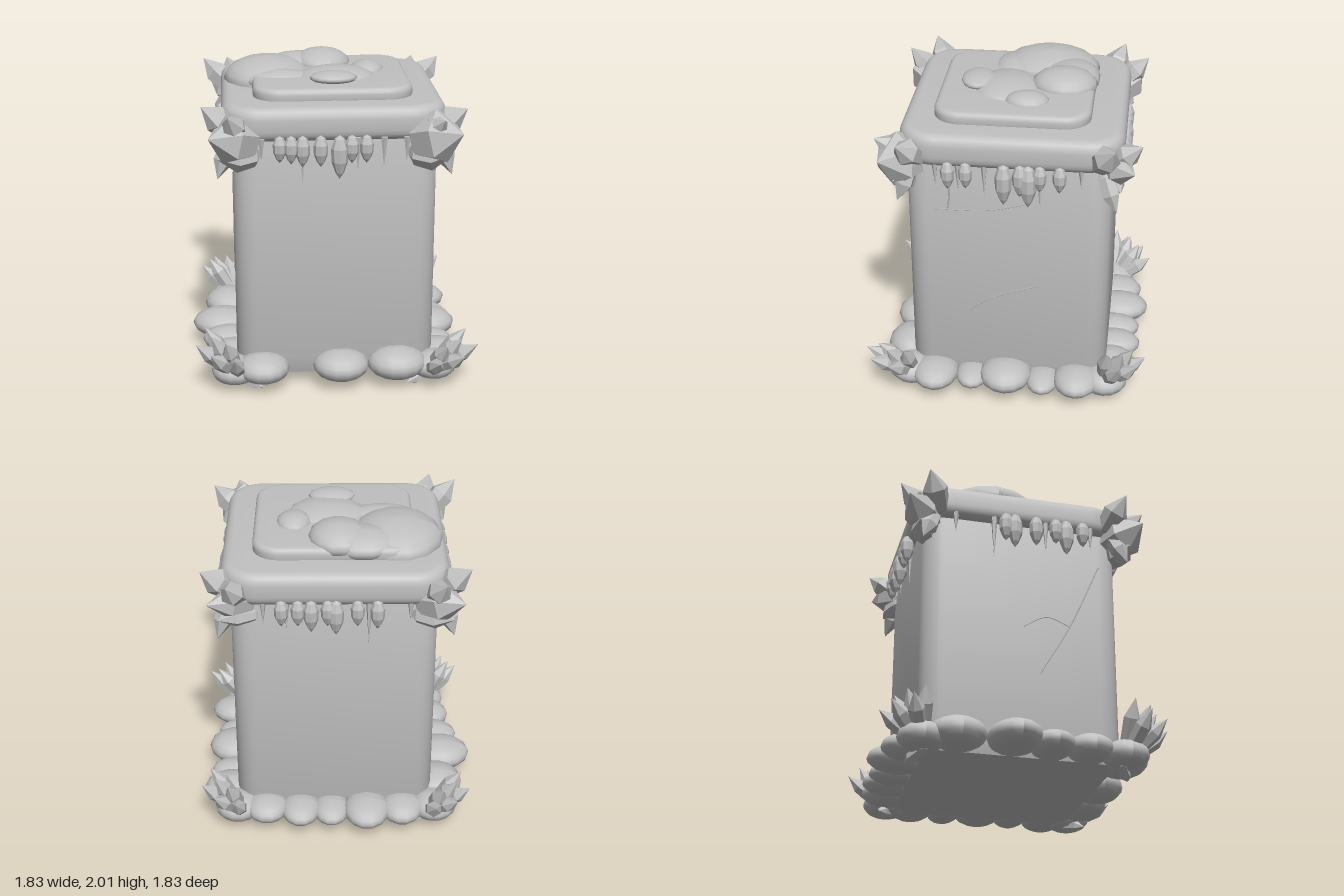
import * as THREE from 'three';
import { toCreasedNormals } from 'three/addons/utils/BufferGeometryUtils.js';

const stone = new THREE.MeshStandardMaterial({ color: 0xc0c0c0 });
stone.name = 'grey stone';

function add(parent, name, geo) {
  const mesh = new THREE.Mesh(geo, stone);
  mesh.name = name;
  parent.add(mesh);
  return mesh;
}

function group(parent, name) {
  const g = new THREE.Group();
  g.name = name;
  parent.add(g);
  return g;
}

// Rounded-corner slab lying flat, with bevelled top and bottom edges
function slab(w, d, y0, y1, radius, inset, rise, corner, steps) {
  const r = radius - inset * 0.5, x = w / 2 - inset - r, z = d / 2 - inset - r;
  const s = new THREE.Shape();
  [[x, -z], [x, z], [-x, z], [-x, -z]].forEach(([cx, cz], i) =>
    s.absarc(cx, cz, r, (i - 1) * Math.PI / 2, i * Math.PI / 2));
  const geo = new THREE.ExtrudeGeometry(s, {
    depth: y1 - y0 - 2 * rise, bevelThickness: rise, bevelSize: inset,
    bevelSegments: steps, curveSegments: corner,
  });
  geo.rotateX(-Math.PI / 2).translate(0, y0 + rise, 0);
  return toCreasedNormals(geo, 0.6);
}

// Smooth boulder, flattened below the floor height
function boulder(parent, name, x, y, z, rx, ry, rz, floor) {
  const geo = new THREE.SphereGeometry(1, 14, 10);
  geo.scale(rx, ry, rz).translate(x, y, z);
  const p = geo.attributes.position;
  for (let i = 0; i < p.count; i++) p.setY(i, Math.max(floor, p.getY(i)));
  geo.computeVertexNormals();
  add(parent, name, geo);
}

// Faceted turned form running from one point to another
function crystal(parent, name, from, to, r, profile, sides) {
  const a = new THREE.Vector3(...from), dir = new THREE.Vector3(...to).sub(a);
  const len = dir.length();
  const pts = profile.map(([px, py]) => new THREE.Vector2(px * r, py * len));
  const geo = new THREE.LatheGeometry(pts, sides).toNonIndexed();
  geo.computeVertexNormals();
  const mesh = add(parent, name, geo);
  mesh.position.copy(a);
  mesh.quaternion.setFromUnitVectors(new THREE.Vector3(0, 1, 0), dir.normalize());
}

const PRISM = [[0, 0], [0.75, 0], [1, 0.7], [0, 1]];
const GEM = [[0, 0], [0.8, 0.2], [1, 0.6], [0, 1]];
const BEAD = [[0, 0], [0.6, 0.08], [1, 0.3], [0.95, 0.6], [0.5, 0.85], [0, 1]];
const SPIKE = [[0, 0], [1, 0.02], [0.5, 0.5], [0, 1]];

// Turns a position along a side and a distance outward into x and z
const place = {
  front: (s, o) => [s, o], back: (s, o) => [s, -o],
  left: (s, o) => [o, s], right: (s, o) => [-o, s],
};

export function createModel() {
  const model = new THREE.Group();
  model.name = 'stonePedestal';

  // Pillar and stepped cap
  add(model, 'pillar', slab(1.27, 1.27, 0.06, 1.8, 0.12, 0.04, 0.13, 3, 1)).position.x = 0.01;
  add(model, 'capSlab', slab(1.39, 1.38, 1.63, 1.84, 0.2, 0.06, 0.07, 6, 4)).position.set(0.005, 0, -0.01);
  add(model, 'capStep', slab(1.0, 0.97, 1.81, 1.91, 0.15, 0.035, 0.035, 6, 4)).position.x = 0.01;

  // Mound of flattened lumps on the cap
  const mound = group(model, 'capMound');
  for (const [x, y, z, rx, ry, rz] of [
    [-0.38, 1.84, -0.17, 0.29, 0.14, 0.33], [-0.02, 1.9, -0.29, 0.19, 0.1, 0.21],
    [0.05, 1.88, 0.07, 0.26, 0.08, 0.22], [0.26, 1.9, -0.08, 0.11, 0.06, 0.14],
    [0.02, 1.93, 0.25, 0.15, 0.04, 0.11], [-0.3, 1.87, 0.06, 0.23, 0.07, 0.13],
    [-0.17, 1.88, -0.32, 0.24, 0.09, 0.19],
  ]) boulder(mound, 'moundLump', x, y, z, rx, ry, rz, 1.8);

  // Boulders round the foot: [along, outer reach, half width]
  const boulders = {
    front: [[-0.46, 0.83, 0.17], [0.04, 0.83, 0.18], [0.4, 0.83, 0.19]],
    left: [[-0.45, 0.87, 0.15], [-0.23, 0.84, 0.11], [0.01, 0.87, 0.17], [0.23, 0.82, 0.11], [0.47, 0.88, 0.15]],
    back: [[-0.43, 0.84, 0.14], [-0.2, 0.89, 0.15], [0.03, 0.84, 0.12], [0.23, 0.85, 0.13], [0.45, 0.82, 0.14]],
    right: [[-0.42, 0.84, 0.18], [-0.08, 0.92, 0.17], [0.16, 0.85, 0.14], [0.4, 0.81, 0.15]],
  };
  const foot = group(model, 'footBoulders');
  for (const [side, list] of Object.entries(boulders)) {
    for (const [s, reach, half] of list) {
      const depth = (reach - 0.5) / 2, h = (half + 0.02) / 2;
      const [x, z] = place[side](s, reach - depth);
      const [rx, rz] = side === 'front' || side === 'back' ? [half, depth] : [depth, half];
      boulder(foot, 'footBoulder', x, half + 0.06 - h, z, rx, h, rz, 0.05);
    }
  }

  // Each corner: side signs, foot spray reach and height, cap chunk radius, cap crystal top and bottom
  const sprays = group(model, 'footCrystals');
  const gems = group(model, 'capCrystals');
  for (const [sx, sz, reach, height, chunk, top, low] of [
    [-1, 1, 0.27, 0.42, 0.15, 1.86, 1.41], [1, 1, 0.3, 0.36, 0.17, 1.82, 1.41],
    [1, -1, 0.25, 0.42, 0.09, 1.85, 1.4], [-1, -1, 0.25, 0.38, 0.12, 1.86, 1.42],
  ]) {
    boulder(foot, 'cornerBoulder', sx * 0.64, 0.11, sz * 0.63, 0.15, 0.09, 0.15, 0.04);

    // Spray fanned about the corner diagonal, alternating tall and short
    for (let i = 0; i < 6; i++) {
      const a = Math.PI / 4 + (i - 2.5) * 0.3, odd = i % 2;
      const out = reach * (odd ? 1 : 0.72);
      crystal(sprays, 'footCrystal', [sx * 0.61, 0.06, sz * 0.62],
        [sx * (0.63 + out * Math.cos(a)), height * (odd ? 0.82 : 1) - i * 0.01, sz * (0.64 + out * Math.sin(a))],
        0.052, PRISM, 6);
    }
    crystal(sprays, 'lowCrystal', [sx * 0.64, 0.06, sz * 0.6], [sx * 0.46, 0.01, sz * 0.7], 0.035, PRISM, 6);

    // Chunk, side crystals, upright and hanging crystals
    crystal(gems, 'chunkCrystal', [sx * 0.47, 1.61, sz * 0.55], [sx * 0.77, 1.69, sz * 0.77], chunk, GEM, 6);
    crystal(gems, 'sideCrystal', [sx * 0.44, 1.55, sz * 0.6], [sx * 0.72, 1.54, sz * 0.69], chunk * 0.65, GEM, 6);
    crystal(gems, 'uprightCrystal', [sx * 0.59, 1.64, sz * 0.53], [sx * 0.81, top, sz * 0.65], 0.085, GEM, 6);
    crystal(gems, 'uprightCrystal', [sx * 0.57, 1.64, sz * 0.6], [sx * 0.65, top - 0.03, sz * 0.81], 0.075, GEM, 6);
    crystal(gems, 'hangingCrystal', [sx * 0.63, 1.66, sz * 0.57], [sx * 0.72, low, sz * 0.67], 0.06, GEM, 6);
  }

  // Drips under the cap: [along, lowest point]; longer ones are thicker
  const drips = {
    front: [[-0.34, 1.51], [-0.27, 1.5], [-0.2, 1.48], [-0.09, 1.48], [0.025, 1.4], [0.1, 1.5], [0.19, 1.5]],
    left: [[-0.32, 1.5], [-0.2, 1.5], [-0.13, 1.39], [-0.08, 1.46], [0.02, 1.4], [0.25, 1.5], [0.36, 1.49]],
    back: [[-0.25, 1.48], [-0.13, 1.5], [0, 1.44], [0.05, 1.5], [0.15, 1.46], [0.23, 1.5], [0.33, 1.5]],
    right: [[-0.13, 1.48], [-0.07, 1.44], [0.07, 1.47], [0.2, 1.5], [0.27, 1.43], [0.38, 1.5]],
  };
  const fringe = group(model, 'capDrips');
  for (const [side, list] of Object.entries(drips)) {
    for (const [s, low] of list) {
      const [x, z] = place[side](s, 0.69);
      crystal(fringe, 'drip', [x, 1.68, z], [x, low, z], 0.043 + (1.5 - low) * 0.1, BEAD, 8);
    }
    for (const [s, low] of [[-0.45, 1.52], [-0.2, 1.36], [0.14, 1.44], [0.3, 1.46], [0.44, 1.5]]) {
      const [x, z] = place[side](s, 0.66);
      crystal(fringe, 'spike', [x, 1.66, z], [x, low, z], 0.022, SPIKE, 5);
    }
  }

  // Fine raised cracks on the two side walls: wall x, then [z, y] points
  const cracks = group(model, 'wallCracks');
  for (const [x, pts] of [
    [0.645, [[0.42, 1.6], [0.36, 1.48], [0.37, 1.33]]],
    [0.645, [[0.45, 1.32], [0.12, 1.33], [-0.1, 1.38]]],
    [0.645, [[0.25, 0.58], [0.12, 0.68], [-0.2, 0.8]]],
    [-0.625, [[0.5, 1.4], [0.3, 0.95], [0.1, 0.6]]],
    [-0.625, [[0.3, 0.95], [0.15, 1.0], [0, 0.92]]],
  ]) {
    const path = new THREE.CatmullRomCurve3(pts.map(([z, y]) => new THREE.Vector3(x, y, z)));
    add(cracks, 'crack', new THREE.TubeGeometry(path, 16, 0.004, 4));
  }
  return model;
}
